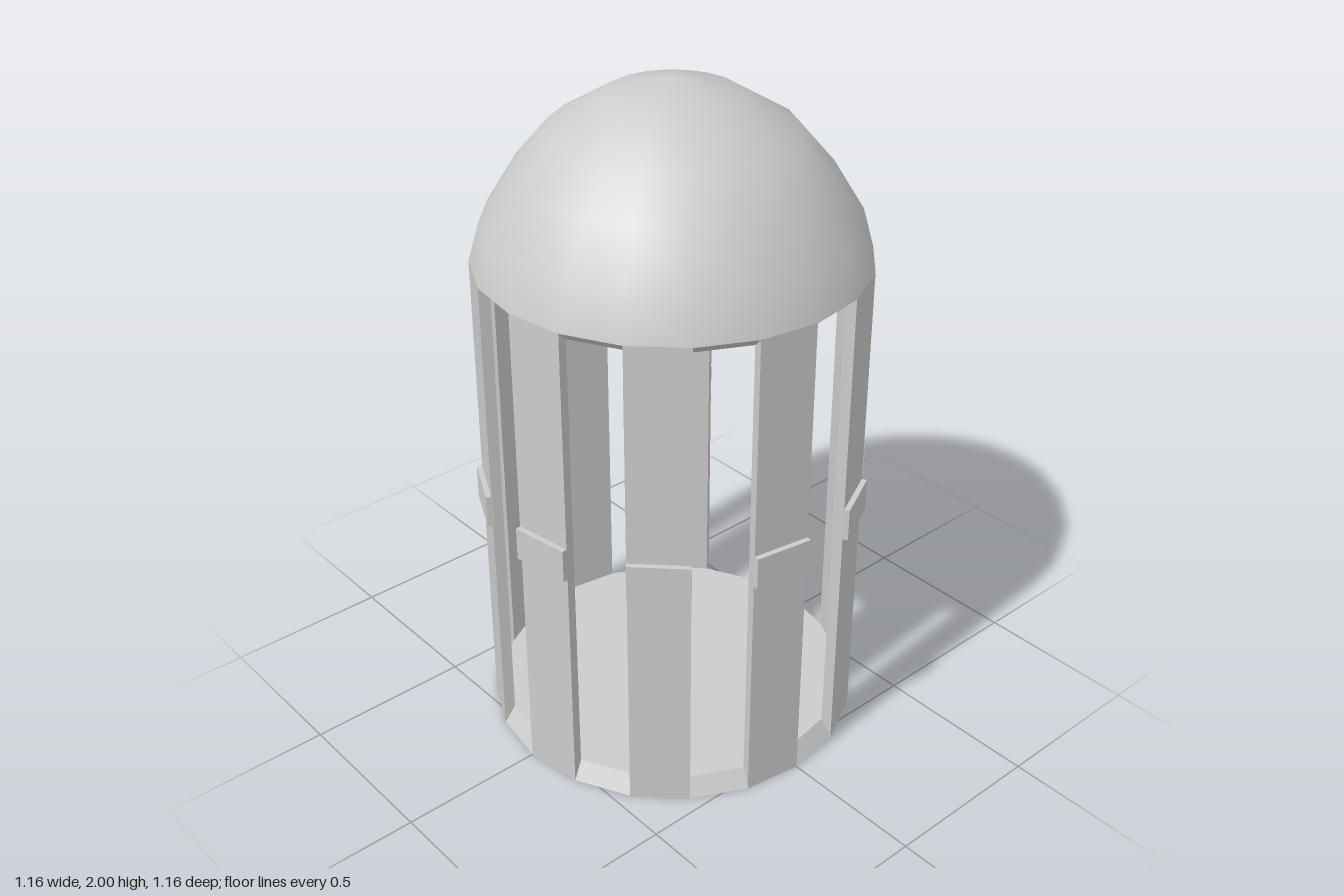
import * as THREE from 'three';
import { mergeVertices } from 'three/addons/utils/BufferGeometryUtils.js';

const SIDES = 20, STEP = (Math.PI * 2) / SIDES;
const OUTER = 0.563, INNER = 0.53;
const WALL_TOP = 1.49, RIM_INNER = 1.46, FLOOR = 0.055;

const flat = new THREE.MeshStandardMaterial({ color: 0xcccccc, flatShading: true });
const smooth = new THREE.MeshStandardMaterial({ color: 0xcccccc });

function lathe(name, profile, material) {
  let geo = new THREE.LatheGeometry(profile.map(([r, y]) => new THREE.Vector2(r, y)), SIDES);
  if (material === smooth) {
    // weld the seam and pole so the shading runs through
    geo.deleteAttribute('normal');
    geo.deleteAttribute('uv');
    geo = mergeVertices(geo, 1e-4);
    geo.computeVertexNormals();
  }
  const mesh = new THREE.Mesh(geo, material);
  mesh.name = name;
  return mesh;
}

export function createModel() {
  const model = new THREE.Group();
  model.name = 'domedCage';

  // Floor plate with a sloping sill
  model.add(lathe('base', [[0, 0], [OUTER, 0], [INNER, FLOOR], [0, FLOOR]], flat));

  // Dome shell: outside, inside and the rim joining them
  const dome = new THREE.Group();
  dome.name = 'dome';
  const outside = [[OUTER, WALL_TOP], [0.53, 1.605], [0.44, 1.75], [0.344, 1.86], [0.185, 1.955], [0, 2]];
  const inside = [[0, 1.966], [0.172, 1.924], [0.322, 1.834], [0.413, 1.73], [0.499, 1.593], [INNER, RIM_INNER]];
  dome.add(
    lathe('domeOutside', outside, smooth),
    lathe('domeInside', inside, smooth),
    lathe('domeRim', [[INNER, RIM_INNER], [OUTER, WALL_TOP]], flat),
  );
  model.add(dome);

  // One wall panel: a plan wedge raised to the dome rim
  const corner = (r, a) => new THREE.Vector2(r * Math.sin(a), -r * Math.cos(a));
  const plan = new THREE.Shape([corner(OUTER, 0), corner(OUTER, STEP), corner(INNER, STEP), corner(INNER, 0)]);
  const panelGeo = new THREE.ExtrudeGeometry(plan, { depth: WALL_TOP, bevelEnabled: false });
  panelGeo.rotateX(-Math.PI / 2);

  // Raised bar lying on the panel face
  const width = 2 * OUTER * Math.sin(STEP / 2);
  const face = OUTER * Math.cos(STEP / 2);
  const barGeo = new THREE.BoxGeometry(width, 0.1, 0.02);
  barGeo.translate(0, 0.78, face + 0.006);
  barGeo.rotateY(STEP / 2);

  // Every other side is a panel, the rest are open
  for (let i = 0; i < SIDES; i += 2) {
    const panel = new THREE.Mesh(panelGeo, flat);
    panel.name = 'wallPanel';
    const bar = new THREE.Mesh(barGeo, flat);
    bar.name = 'panelBar';
    panel.add(bar);
    panel.rotation.y = i * STEP;
    model.add(panel);
  }
  return model;
}
